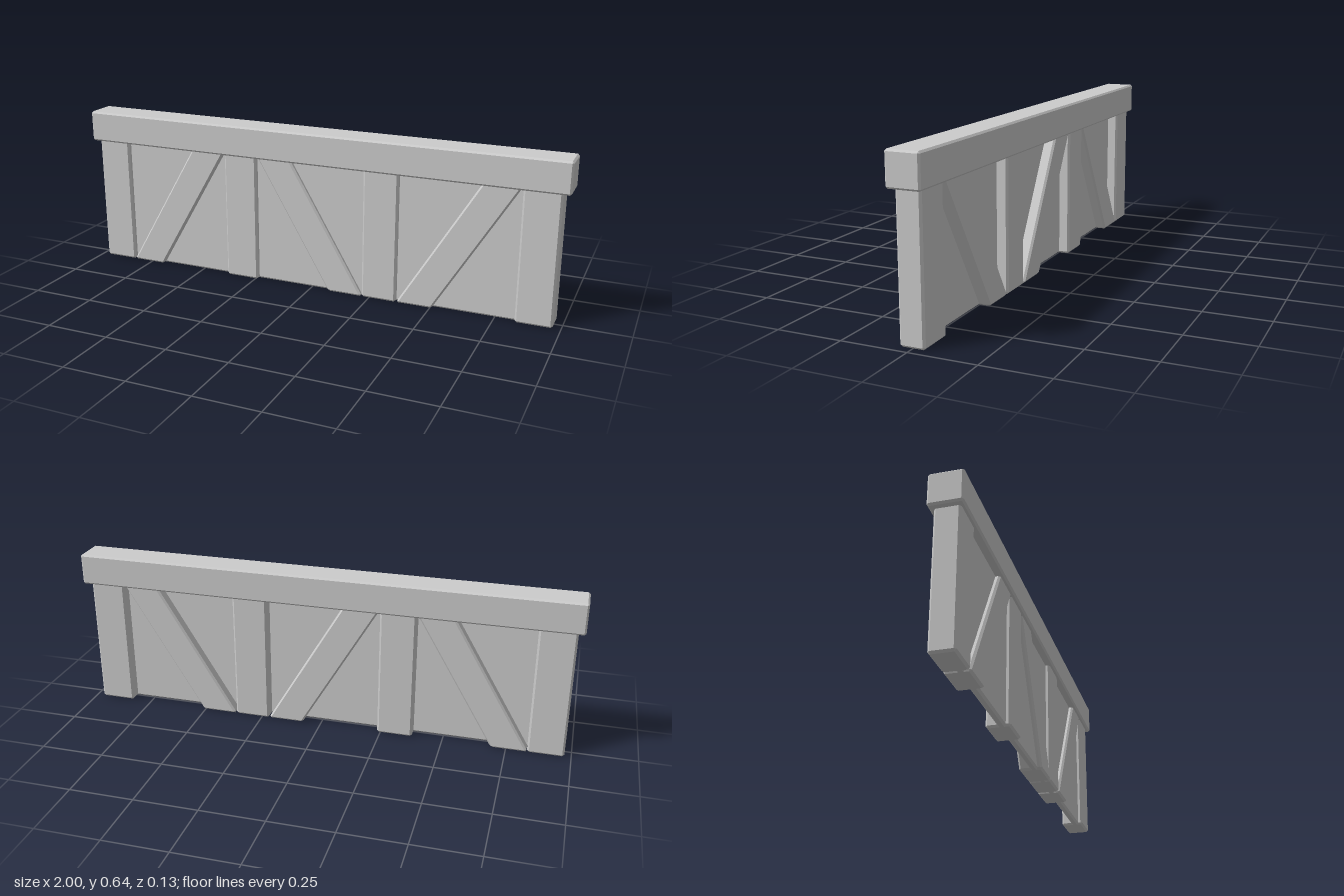
import * as THREE from 'three';
import { ConvexGeometry } from 'three/addons/geometries/ConvexGeometry.js';

const material = new THREE.MeshStandardMaterial({ color: 0xcccccc, flatShading: true });

// Box with 45-degree chamfers on every edge; lean slides the top along x
function beam(name, [x0, x1], [y0, y1], [z0, z1], chamfer = 0.008, lean = 0) {
  const half = [(x1 - x0) / 2, (y1 - y0) / 2, (z1 - z0) / 2];
  const points = [];
  for (const sx of [-1, 1]) for (const sy of [-1, 1]) for (const sz of [-1, 1]) {
    for (let axis = 0; axis < 3; axis++) {
      // each corner becomes three points, one on each adjoining face
      const p = [sx, sy, sz].map((s, i) => s * (half[i] - (i === axis ? 0 : chamfer)));
      p[0] += lean * (p[1] + half[1]) / (2 * half[1]);
      points.push(new THREE.Vector3(...p));
    }
  }
  const mesh = new THREE.Mesh(new ConvexGeometry(points), material);
  mesh.name = name;
  mesh.position.set((x0 + x1) / 2, (y0 + y1) / 2, (z0 + z1) / 2);
  return mesh;
}

export function createModel() {
  const group = new THREE.Group();
  group.name = 'timberRailing';
  const depth = [-0.047, 0.047];
  const height = [0, 0.53];

  // Heavy handrail along the top
  group.add(beam('topRail', [-1, 1], [0.52, 0.645], [-0.063, 0.063], 0.007));

  // Thin infill panel, set nearer the front than the back
  group.add(beam('infillPanel', [-0.96, 0.96], height, [-0.003, 0.029]));

  // Upright posts
  for (const x of [-0.903, -0.308, 0.29, 0.899]) {
    group.add(beam('post', [x - 0.071, x + 0.071], height, depth));
  }

  // Diagonal braces: foot centre and lean to the top
  for (const [x, lean] of [[-0.763, 0.312], [0.148, -0.312], [0.434, 0.322]]) {
    group.add(beam('diagonalBrace', [x - 0.072, x + 0.072], height, depth, 0.008, lean));
  }
  return group;
}
